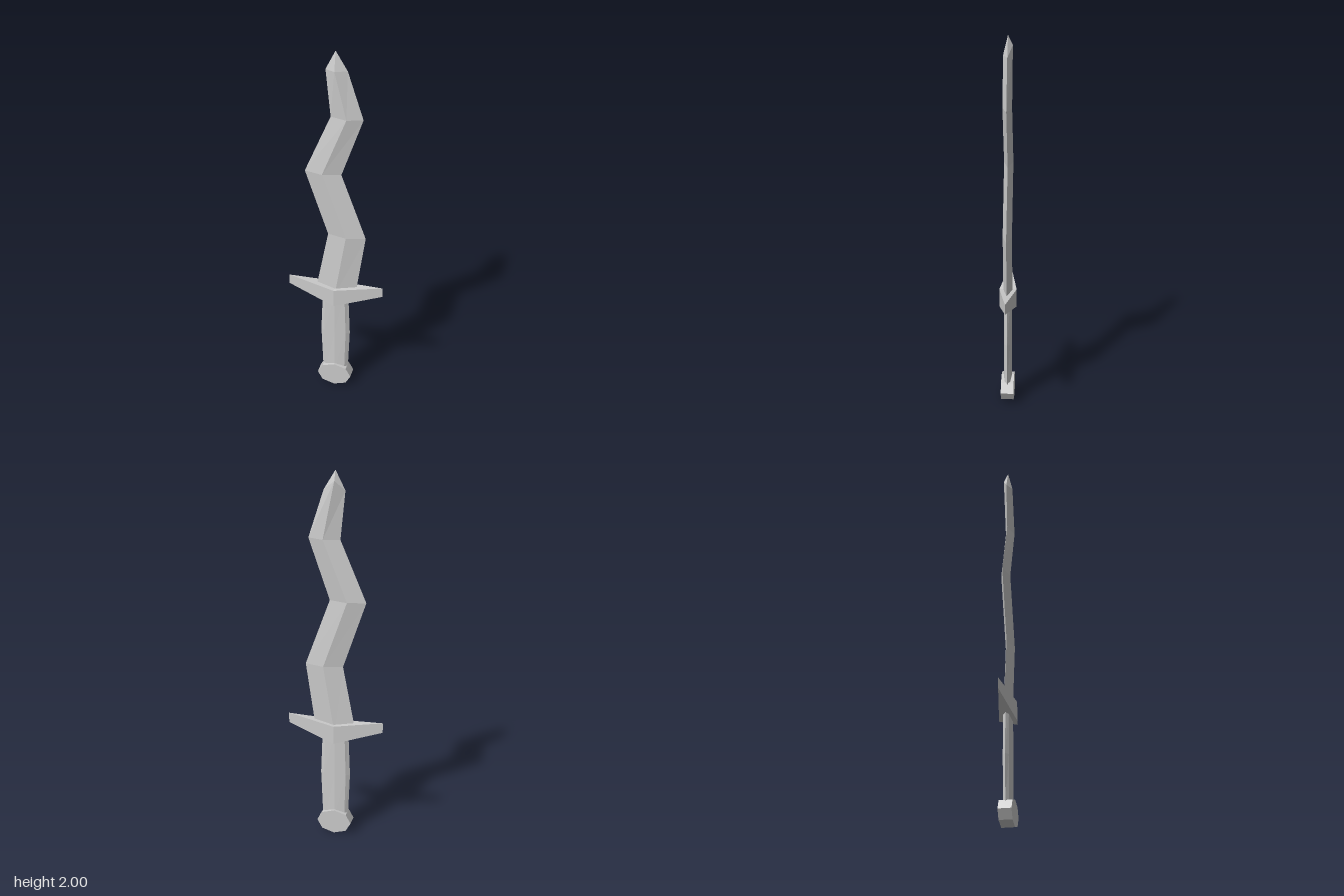
import * as THREE from 'three';

const material = new THREE.MeshStandardMaterial({ color: 0xcccccc, flatShading: true });

// Skins a stack of rings (each counter-clockwise seen from above) and caps both ends
function loft(rings) {
  const positions = [];
  const tri = (a, b, c) => positions.push(...a, ...b, ...c);
  for (let r = 0; r < rings.length - 1; r++) {
    const low = rings[r], high = rings[r + 1], n = low.length;
    for (let i = 0; i < n; i++) {
      const j = (i + 1) % n;
      tri(low[i], low[j], high[j]);
      tri(low[i], high[j], high[i]);
    }
  }
  const bottom = rings[0], top = rings[rings.length - 1];
  for (let i = 1; i < bottom.length - 1; i++) {
    tri(bottom[0], bottom[i + 1], bottom[i]);
    tri(top[0], top[i], top[i + 1]);
  }
  const geometry = new THREE.BufferGeometry();
  geometry.setAttribute('position', new THREE.Float32BufferAttribute(positions, 3));
  geometry.computeVertexNormals();
  return geometry;
}

export function createModel() {
  const group = new THREE.Group();
  const add = (name, geometry) => {
    const mesh = new THREE.Mesh(geometry, material);
    mesh.name = name;
    group.add(mesh);
  };

  // Wavy blade with a diamond section: y, right edge x, left edge x, ridge x
  const stations = [
    [0.60, 0.107, -0.11, 0.0],
    [0.97, 0.16, -0.04, 0.06],
    [1.33, 0.03, -0.16, -0.065],
    [1.65, 0.14, -0.025, 0.06],
    [1.90, 0.06, -0.05, 0.0],
  ];
  const half = 0.024;
  const bladeRings = stations.map(([y, right, left, ridge], i) => [
    [right, y, 0],
    [ridge, i === 4 ? 1.95 : y, -half], // the back ridge runs closer to the tip
    [left, y, 0],
    [ridge, y, half],
  ]);
  bladeRings.push(Array(4).fill([0, 2, 0]));
  add('blade', loft(bladeRings));

  // Diamond crossguard, its thin ends swept upward
  const guard = new THREE.CylinderGeometry(1, 1, 1, 4);
  const p = guard.attributes.position;
  for (let i = 0; i < p.count; i++) {
    const end = Math.abs(p.getX(i));
    const y = p.getY(i) > 0 ? 0.645 + 0.03 * end : 0.545 + 0.075 * end;
    p.setXYZ(i, p.getX(i) * 0.255, y, p.getZ(i) * 0.046);
  }
  guard.computeVertexNormals();
  add('crossguard', guard);

  // Flattened eight-sided grip, widest in the middle
  const section = [[1, 0], [0.75, -0.7], [0, -1], [-0.75, -0.7], [-1, 0], [-0.75, 0.7], [0, 1], [0.75, 0.7]];
  const gripRings = [[0.10, 0.07], [0.35, 0.08], [0.60, 0.07]].map(([y, w]) =>
    section.map(([x, z]) => [x * w, y, z * 0.022]));
  add('grip', loft(gripRings));

  // Octagonal disc pommel facing front and back
  const pommel = new THREE.CylinderGeometry(1, 1, 0.068, 8);
  pommel.rotateX(Math.PI / 2);
  pommel.scale(0.093, 0.069, 1);
  pommel.translate(0, 0.069, 0);
  add('pommel', pommel);

  return group;
}
